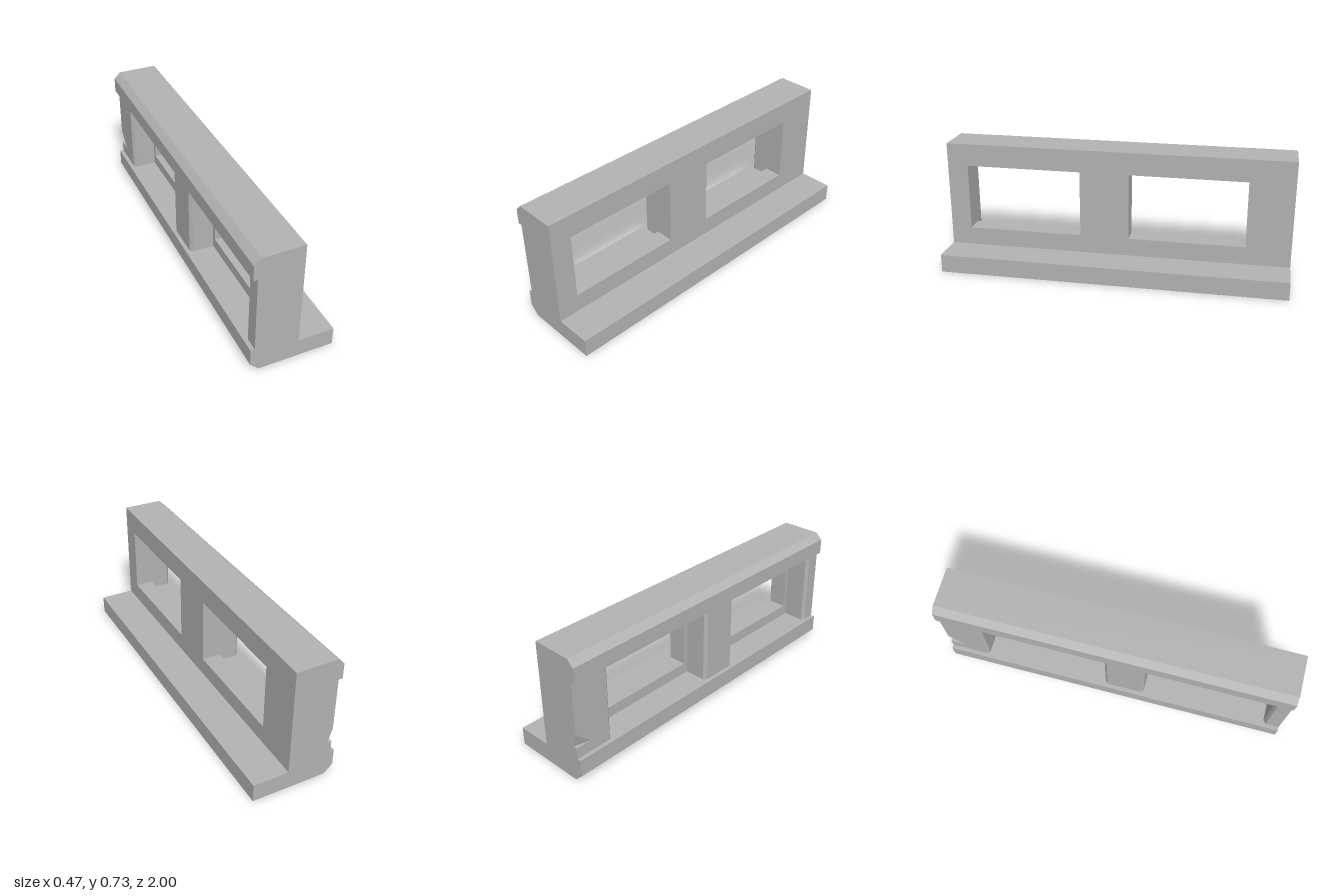
import * as THREE from 'three';

// Key levels shared by the parts
const BACK = -0.215, WEB = -0.075, FACE = 0.033;
const LEDGE = 0.145, SILL = 0.21, HEAD = 0.595, SOFFIT = 0.6;
const BEVEL = 0.016;

const toShape = pts => new THREE.Shape(pts.map(p => new THREE.Vector2(p[0], p[1])));

// Side profile (x, y) run along the full length
function rail(pts) {
  const g = new THREE.ExtrudeGeometry(toShape(pts), { depth: 2, bevelEnabled: false });
  return g.translate(0, 0, -1);
}

// Plan outline (x, z) raised from y0 to y1
function upright(plan, y0, y1) {
  const g = new THREE.ExtrudeGeometry(toShape(plan.map(([x, z]) => [x, -z])), { depth: y1 - y0, bevelEnabled: false });
  return g.rotateX(-Math.PI / 2).translate(0, y0, 0);
}

// Side walls between two plan outlines with equal point counts
function loftWalls(low, y0, high, y1) {
  const v = [];
  low.forEach((_, i) => {
    const j = (i + 1) % low.length;
    const a = [low[i][0], y0, low[i][1]], b = [low[j][0], y0, low[j][1]];
    const c = [high[j][0], y1, high[j][1]], d = [high[i][0], y1, high[i][1]];
    v.push(...a, ...b, ...c, ...a, ...c, ...d);
  });
  const g = new THREE.BufferGeometry();
  g.setAttribute('position', new THREE.Float32BufferAttribute(v, 3));
  g.computeVertexNormals();
  return g;
}

// Plan of a rear post, bevelled on its window sides
function postPlan(z0, z1) {
  const b0 = z0 > -1 ? BEVEL : 0, b1 = z1 < 1 ? BEVEL : 0;
  const pts = [[WEB, z0]];
  if (b0) pts.push([BACK + b0, z0]);
  pts.push([BACK, z0 + b0], [BACK, z1 - b1]);
  if (b1) pts.push([BACK + b1, z1]);
  pts.push([WEB, z1]);
  return pts;
}

export function createModel() {
  const model = new THREE.Group();
  const grey = new THREE.MeshStandardMaterial({ color: 0xb3b3b3 });
  grey.name = 'light grey';
  const add = (name, geometry) => {
    const m = new THREE.Mesh(geometry, grey);
    m.name = name;
    model.add(m);
  };

  // Base with front flange, sill and rear ledge
  add('baseRail', rail([
    [-0.19, 0], [0.236, 0], [0.236, 0.105], [FACE, 0.105], [FACE, SILL],
    [WEB, SILL], [WEB, LEDGE], [-0.238, LEDGE], [-0.238, 0.048],
  ]));

  // Head beam with bevelled rear edge
  add('topRail', rail([
    [WEB, HEAD], [FACE, HEAD], [FACE, 0.725], [-0.2, 0.725],
    [-0.238, 0.688], [-0.238, SOFFIT], [WEB, SOFFIT],
  ]));

  // Front wall panels beside the two openings
  for (const [z0, z1] of [[-1, -0.745], [-0.075, 0.21], [0.88, 1]]) {
    add('wallPanel', upright([[WEB, z0], [WEB, z1], [FACE, z1], [FACE, z0]], SILL, HEAD));
  }

  // Rear posts in the wider recess
  for (const [z0, z1] of [[-0.048, 0.184], [0.907, 1]]) {
    add('rearPost', upright(postPlan(z0, z1), LEDGE, SOFFIT));
  }

  // End post with a small wedge notch in its outer corner
  const endPlan = postPlan(-1, -0.769);
  const rest = [[BACK, -0.785], [BACK + BEVEL, -0.769], [WEB, -0.769], [WEB, -1]];
  const notched = [[-0.19, -1], [BACK, -0.907], ...rest];
  const full = [[-0.19, -1], [BACK, -1], ...rest];
  add('endPostFoot', upright(endPlan, LEDGE, SILL));
  add('endPostNotch', loftWalls(notched, SILL, full, 0.295));
  add('endPost', upright(endPlan, 0.295, SOFFIT));

  return model;
}
